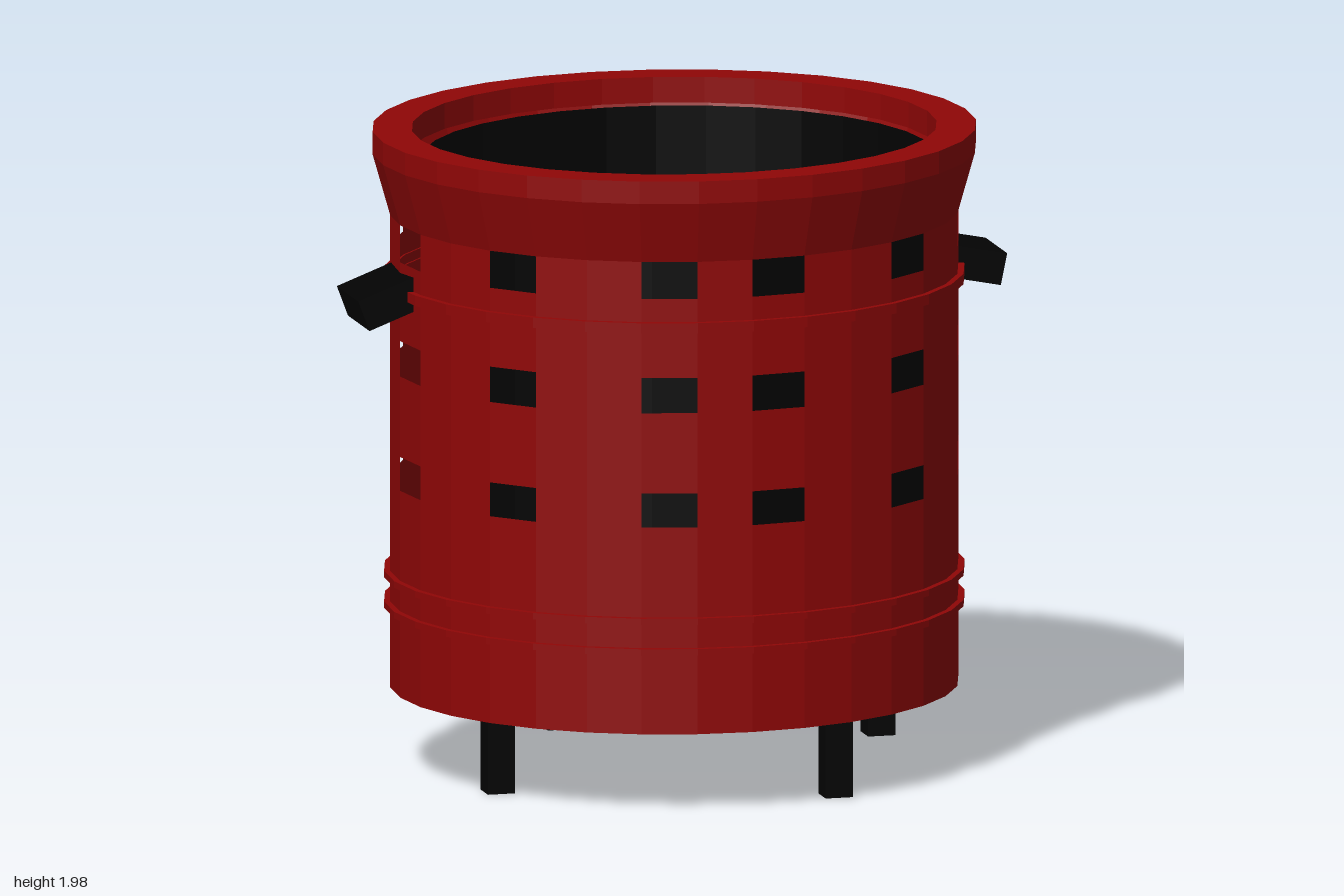
import * as THREE from 'three';
import { mergeGeometries } from 'three/addons/utils/BufferGeometryUtils.js';

const SIDES = 32;
const STEP = (Math.PI * 2) / SIDES;
const START = THREE.MathUtils.degToRad(-15.3) - STEP / 2; // first panel of the wall
const YAW = THREE.MathUtils.degToRad(21); // long axis of the oval, through both handles
const WALL = 0.872;
const RIM = 0.926;

const red = new THREE.MeshStandardMaterial({ color: 0x900606, flatShading: true, side: THREE.DoubleSide });
const black = new THREE.MeshStandardMaterial({ color: 0x030303, flatShading: true, side: THREE.DoubleSide });

// Revolved profile of [radius, y] points, over all sides or a single panel
function turn(points, panel = null) {
  const profile = points.map(([r, y]) => new THREE.Vector2(r, y));
  return panel === null
    ? new THREE.LatheGeometry(profile, SIDES, START, Math.PI * 2)
    : new THREE.LatheGeometry(profile, 1, START + panel * STEP, STEP);
}

function add(parent, name, geometry, material) {
  const mesh = new THREE.Mesh(geometry, material);
  mesh.name = name;
  parent.add(mesh);
  return mesh;
}

export function createModel() {
  const model = new THREE.Group();
  model.name = 'firePit';

  // Slightly oval outer body
  const body = new THREE.Group();
  body.name = 'body';
  body.position.set(0.005, 0, -0.003);
  body.rotation.y = YAW;
  body.scale.z = 0.94;
  model.add(body);

  // Thin wall: solid hoops alternate with rows of panels that leave out the vents
  const ventRows = [[0.895, 1.0], [1.25, 1.36], [1.605, 1.72]];
  const ventPanels = new Set();
  for (let k = 0; k < 11; k++) ventPanels.add((2 + 3 * k) % SIDES);
  const wall = [];
  let y = 0.252;
  for (const [low, high] of ventRows) {
    wall.push(turn([[WALL, y], [WALL, low]]));
    for (let i = 0; i < SIDES; i++) {
      if (!ventPanels.has(i)) wall.push(turn([[WALL, low], [WALL, high]], i));
    }
    y = high;
  }
  add(body, 'ventedWall', mergeGeometries(wall), red);
  add(body, 'floor', turn([[0, 0.252], [WALL, 0.252]]), red);

  // Flared collar with a flat rim and a short inner lip
  add(body, 'flaredRim', turn([[WALL, 1.72], [RIM, 1.91], [RIM, 1.98], [0.805, 1.98], [0.805, 1.9]]), red);

  // Raised hoops round the wall
  for (const [mid, height] of [[0.51, 0.02], [0.605, 0.02], [1.517, 0.032]]) {
    const a = mid - height / 2, b = mid + height / 2;
    add(body, 'hoop', turn([[0.866, a], [0.891, a], [0.891, b], [0.866, b]]), red);
  }

  // Dark drum inside, open at the top, seen through the vents and the opening
  const drum = add(model, 'innerDrum', turn([[0, 0.28], [0.782, 0.28], [0.782, 1.89]]), black);
  drum.position.set(0.02, 0, -0.005);
  drum.rotation.y = YAW;
  drum.scale.z = 0.975;

  // Two opposite handles, sloping down and outwards
  for (const [turnAngle, height, tilt] of [[0, 1.525, 0.2], [Math.PI, 1.5, 0.36]]) {
    const handle = new THREE.Group();
    handle.name = 'handle';
    handle.rotation.y = YAW + turnAngle;
    const grip = add(handle, 'grip', new THREE.BoxGeometry(0.2, 0.1, 0.25), black);
    grip.position.set(0.915, height, 0);
    grip.rotation.z = -tilt;
    model.add(handle);
  }

  // Four square legs
  for (const [x, z] of [[0.545, 0.45], [-0.485, 0.495], [0.577, -0.52], [-0.404, -0.515]]) {
    const leg = add(model, 'leg', new THREE.BoxGeometry(0.086, 0.256, 0.086), black);
    leg.position.set(x, 0.128, z);
    leg.rotation.y = YAW;
  }

  return model;
}
